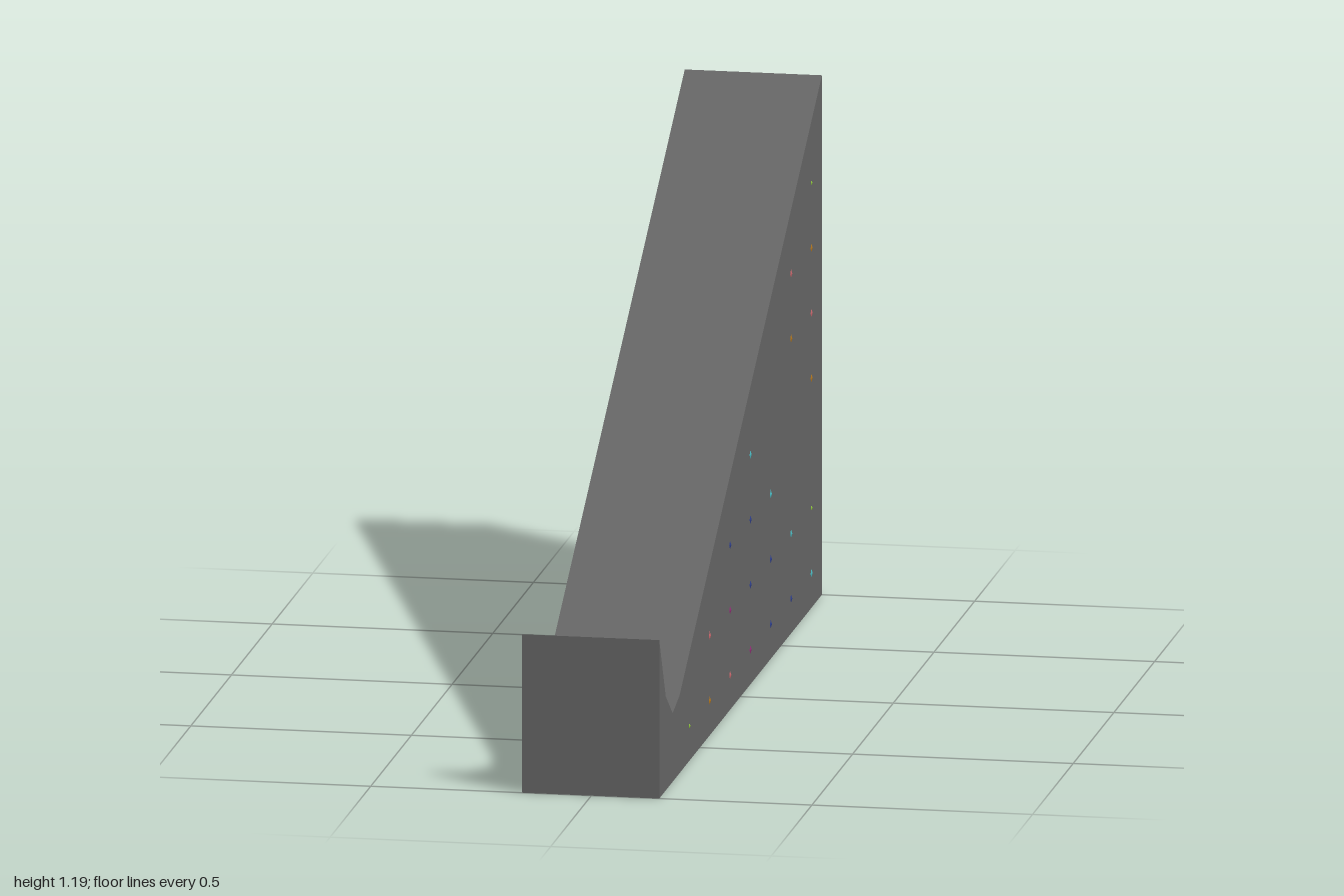
import * as THREE from 'three';

const mat = (name, color) => new THREE.MeshStandardMaterial({ name, color });

export function createModel() {
  const model = new THREE.Group();
  const right = 0.154, left = -0.157;

  // Solid ramp: side profile as [z, y], swept across the width
  const profile = [[1, 0], [-1, 0], [-1, 1.19], [0.75, 0.178], [0.835, 0.157], [0.92, 0.215], [1, 0.363]];
  const shape = new THREE.Shape(profile.map(([z, y]) => new THREE.Vector2(-z, y)));
  const rampGeometry = new THREE.ExtrudeGeometry(shape, { depth: right - left, bevelEnabled: false });
  rampGeometry.rotateY(Math.PI / 2).translate(left, 0, 0);
  const ramp = new THREE.Mesh(rampGeometry, mat('body grey', 0x666666));
  ramp.name = 'ramp';
  model.add(ramp);

  // Tiny coloured studs barely breaking the left side, on a regular lattice
  const colors = {
    g: mat('stud green', 0x8fc63d), o: mat('stud orange', 0xb87a1e), p: mat('stud pink', 0xd06a70),
    m: mat('stud magenta', 0x96307a), b: mat('stud blue', 0x30418f), t: mat('stud teal', 0x4cc0c8),
  };
  // One row per height, one letter per step from front to back
  const rows = ['.gopmbbt', '..pmbbtg', '...bbt..', '....t..o', '......op', '......po', '.......g'];
  const studGeometry = new THREE.ConeGeometry(0.01, 0.003, 4).rotateZ(-Math.PI / 2);
  const studs = new THREE.Group();
  studs.name = 'studs';
  rows.forEach((row, j) => [...row].forEach((key, i) => {
    if (!colors[key]) return;
    const stud = new THREE.Mesh(studGeometry, colors[key]);
    stud.name = 'stud';
    const size = key === 'g' ? 0.6 : 1;
    stud.scale.set(1, size, size);
    stud.position.set(right + 0.0015, 0.08 + j * 0.149, 0.88 - i * 0.25);
    studs.add(stud);
  }));
  model.add(studs);
  return model;
}
